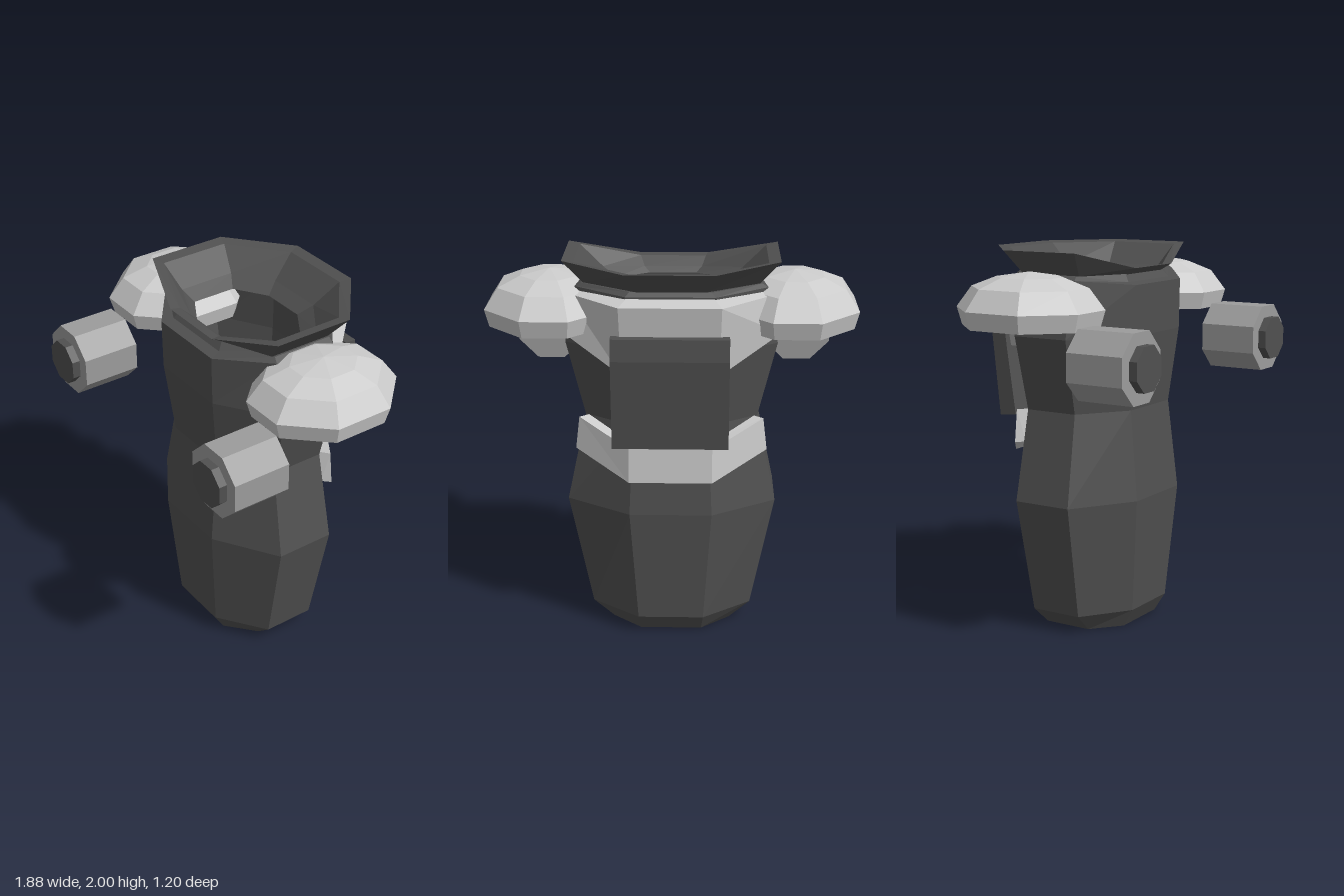
import * as THREE from 'three';

const paint = (color) => new THREE.MeshStandardMaterial({ color, flatShading: true, side: THREE.DoubleSide });

// Skin a list of cross-sections (closed loops of [x, y, z]); caps close both ends.
function loft(sections, caps = false) {
  const n = sections[0].length;
  const geometry = new THREE.BufferGeometry();
  const index = [];
  for (let i = 0; i < sections.length - 1; i++) {
    for (let j = 0; j < n; j++) {
      const k = (j + 1) % n;
      const a = i * n + j, b = i * n + k;
      index.push(a, b, b + n, a, b + n, a + n);
    }
  }
  if (caps) {
    const last = (sections.length - 1) * n;
    for (let j = 1; j < n - 1; j++) {
      index.push(0, j + 1, j, last, last + j, last + j + 1);
    }
  }
  geometry.setAttribute('position', new THREE.Float32BufferAttribute(sections.flat(2), 3));
  geometry.setIndex(index);
  const flat = geometry.toNonIndexed();
  flat.computeVertexNormals();
  return flat;
}

// Eight-sided ring: flat half-widths front/back, side flat between z1 and z2.
function ring(y, hx, zf, zb, sf, z1, z2, sb = sf, yFront = y) {
  return [
    [-sf, yFront, zf], [sf, yFront, zf], [hx, y, z1], [hx, y, z2],
    [sb, y, zb], [-sb, y, zb], [-hx, y, z2], [-hx, y, z1],
  ];
}

// Band around the back: half-path stations, mirrored to the other side.
// Each station: outer top, outer bottom, inner bottom, inner top.
function backBand(half) {
  const mirrored = half.map((s) => s.map(([x, y, z]) => [-x, y, z])).reverse();
  return loft([...half, ...mirrored], true);
}

export function createModel() {
  const model = new THREE.Group();
  const light = paint(0xcccccc);
  const mid = paint(0x9c9c9c);
  const dark = paint(0x505050);

  function add(name, geometry, material, parent = model) {
    const mesh = new THREE.Mesh(geometry, material);
    mesh.name = name;
    parent.add(mesh);
    return mesh;
  }

  // Hollow torso: up the outside, over the neck lip and down the inside
  const outside = [
    ring(0, 0.31, 0.15, -0.37, 0.16, 0.02, -0.24),
    ring(0.1, 0.42, 0.21, -0.44, 0.17, 0.03, -0.25),
    ring(0.71, 0.54, 0.26, -0.48, 0.21, 0.05, -0.27),
    ring(1.18, 0.44, 0.21, -0.43, 0.19, 0.03, -0.26),
    ring(1.57, 0.535, 0.255, -0.48, 0.22, 0.04, -0.27),
    ring(1.86, 0.48, 0.26, -0.48, 0.22, 0.06, -0.28, 0.22, 1.83),
    ring(1.88, 0.45, 0.2, -0.46, 0.2, 0.05, -0.28, 0.2, 1.84),
    ring(1.88, 0.4, 0.17, -0.42, 0.18, 0.04, -0.27),
  ];
  const inside = [
    ring(1.57, 0.48, 0.2, -0.43, 0.2, 0.03, -0.26),
    ring(1.18, 0.4, 0.17, -0.39, 0.17, 0.02, -0.25),
    ring(0.71, 0.49, 0.21, -0.43, 0.19, 0.04, -0.26),
    ring(0.12, 0.38, 0.17, -0.4, 0.15, 0.02, -0.24),
    ring(0, 0.28, 0.12, -0.34, 0.13, 0.01, -0.23),
  ];
  add('torso', loft([...outside, ...inside, outside[0]]), dark);

  // Flared collar, dipping at the front
  const collarBase = ring(1.88, 0.44, 0.18, -0.46, 0.17, 0.06, -0.28);
  add('collar', loft([
    collarBase,
    ring(2, 0.54, 0.23, -0.6, 0.18, 0.1, -0.33, 0.22, 1.91),
    ring(1.99, 0.48, 0.18, -0.54, 0.17, 0.07, -0.31, 0.2, 1.905),
    ring(1.88, 0.36, 0.13, -0.41, 0.15, 0.04, -0.27, 0.16, 1.86),
    ring(1.83, 0.29, 0.11, -0.34, 0.12, 0.01, -0.23),
    collarBase,
  ]), dark);

  // Light yoke across the upper back
  add('backYoke', backBand([
    [[0.52, 1.83, 0], [0.55, 1.64, 0], [0.5, 1.64, 0], [0.45, 1.85, 0]],
    [[0.52, 1.83, -0.3], [0.55, 1.63, -0.3], [0.5, 1.63, -0.26], [0.45, 1.85, -0.26]],
    [[0.25, 1.83, -0.57], [0.24, 1.47, -0.51], [0.21, 1.47, -0.44], [0.2, 1.86, -0.44]],
  ]), light);

  // Low belt sloping down to the back
  add('backBelt', backBand([
    [[0.47, 1.18, -0.31], [0.49, 1.01, -0.31], [0.45, 1.01, -0.27], [0.42, 1.18, -0.27]],
    [[0.21, 1.08, -0.5], [0.21, 0.9, -0.51], [0.19, 0.94, -0.43], [0.19, 1.09, -0.42]],
  ]), light);

  // Dark plate hanging on the back, a side profile swept across x
  const plate = [
    [1.68, -0.59], [1.57, -0.6], [1.1, -0.55], [1.11, -0.45], [1.45, -0.5], [1.68, -0.53],
  ];
  add('backPlate', loft([0.29, -0.29].map((x) => plate.map(([y, z]) => [x, y, z])), true), dark);

  // Faceted shoulder domes and the barrels in front of them
  const domeRings = [[1.64, 0.93], [1.73, 1], [1.835, 0.79], [1.885, 0.45], [1.91, 0.01]];
  const dome = loft(domeRings.map(([y, s]) =>
    ring(y, 0.32 * s, 0.365 * s, -0.365 * s, 0.12 * s, 0.155 * s, -0.155 * s)), true);
  const octagonBar = (apothem, length) => {
    const r = apothem / Math.cos(Math.PI / 8);
    return new THREE.CylinderGeometry(r, r, length, 8).rotateY(Math.PI / 8).rotateX(Math.PI / 2);
  };
  for (const [side, s] of [['left', 1], ['right', -1]]) {
    const shoulder = new THREE.Group();
    shoulder.name = side + 'Shoulder';
    model.add(shoulder);
    add(side + 'ShoulderDome', dome, light, shoulder).position.set(s * 0.62, 0, -0.11);
    add(side + 'Barrel', octagonBar(0.173, 0.31), mid, shoulder).position.set(s * 0.665, 1.49, 0.405);
    add(side + 'BarrelTip', octagonBar(0.11, 0.06), dark, shoulder).position.set(s * 0.665, 1.49, 0.573);
  }

  return model;
}
